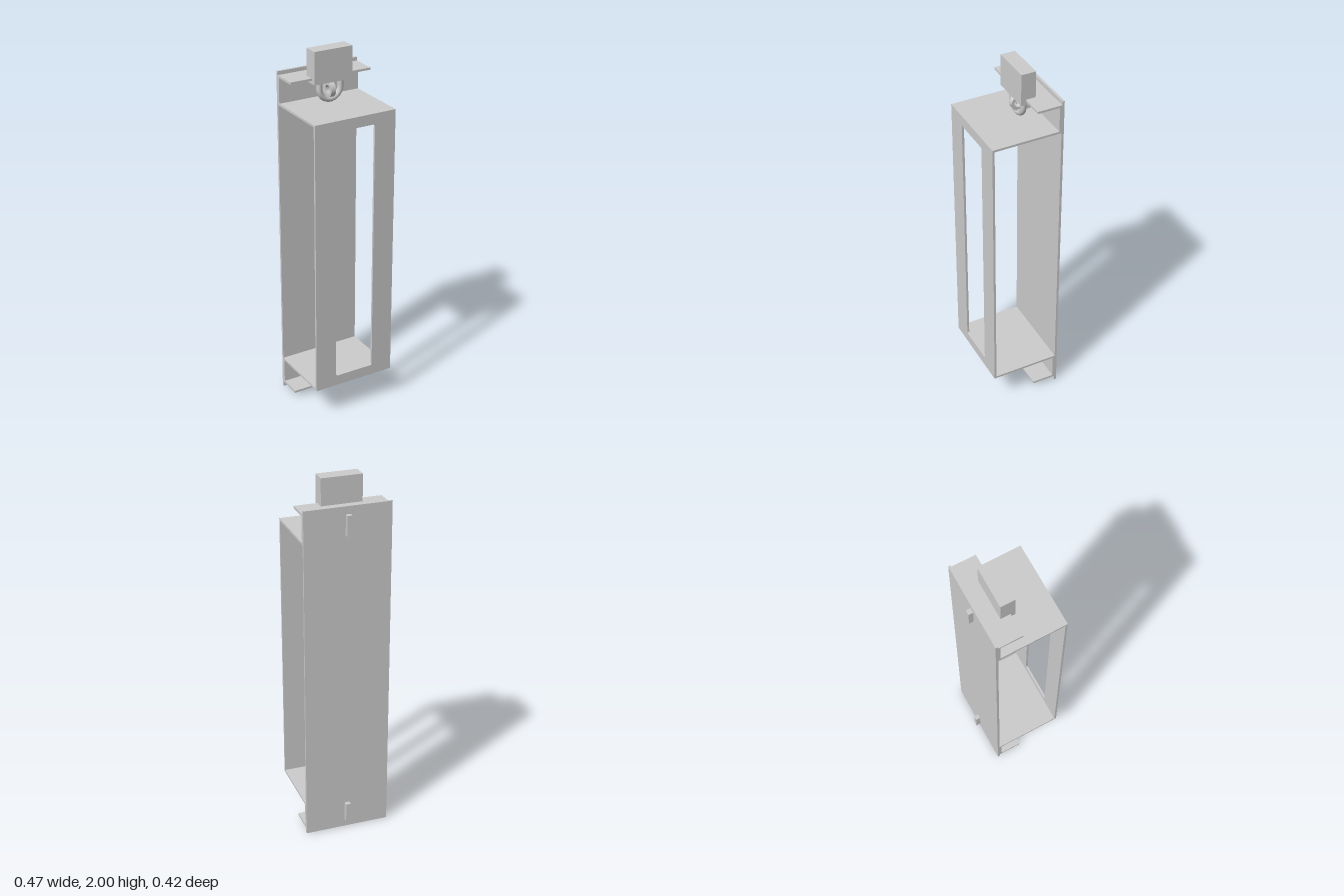
import * as THREE from 'three';

const mat = new THREE.MeshStandardMaterial({ color: 0xcccccc, side: THREE.DoubleSide });
const W = 0.47; // width of the sheet metal parts

function add(parent, name, geometry) {
  const mesh = new THREE.Mesh(geometry, mat);
  mesh.name = name;
  parent.add(mesh);
  return mesh;
}

// Box given by its y and z limits, centred on x = 0
function slab(parent, name, w, y0, y1, z0, z1) {
  const mesh = add(parent, name, new THREE.BoxGeometry(w, y1 - y0, z1 - z0));
  mesh.position.set(0, (y0 + y1) / 2, (z0 + z1) / 2);
  return mesh;
}

// Rectangle path with rounded corners
function roundedRect(path, x, y0, y1, r) {
  path.moveTo(-x + r, y0);
  path.lineTo(x - r, y0);
  path.absarc(x - r, y0 + r, r, -Math.PI / 2, 0);
  path.lineTo(x, y1 - r);
  path.absarc(x - r, y1 - r, r, 0, Math.PI / 2);
  path.lineTo(-x + r, y1);
  path.absarc(-x + r, y1 - r, r, Math.PI / 2, Math.PI);
  path.lineTo(-x, y0 + r);
  path.absarc(-x + r, y0 + r, r, Math.PI, Math.PI * 1.5);
  return path;
}

// Flat eye tab in the z/y plane, with a wider root pushed through the back plate
function tabGeometry() {
  const s = new THREE.Shape();
  s.moveTo(-0.21, -0.055);
  s.lineTo(-0.155, -0.055);
  s.lineTo(-0.155, -0.048);
  s.lineTo(-0.052, -0.043);
  s.absarc(-0.053, 0, 0.043, -Math.PI / 2, Math.PI / 2);
  s.lineTo(-0.155, 0.048);
  s.lineTo(-0.155, 0.055);
  s.lineTo(-0.21, 0.055);
  s.closePath();
  s.holes.push(new THREE.Path().absarc(-0.048, 0, 0.023, 0, Math.PI * 2, true));
  const g = new THREE.ExtrudeGeometry(s, { depth: 0.027, bevelEnabled: false, curveSegments: 16 });
  return g.translate(0, 0, -0.0135).rotateY(-Math.PI / 2);
}

export function createModel() {
  const model = new THREE.Group();
  model.name = 'lockedWallBracket';

  slab(model, 'backPlate', W, 0, 1.875, -0.185, -0.172);

  // Bent cover: windowed front, two shelves, flanges and lips
  const cover = new THREE.Group();
  cover.name = 'cover';
  model.add(cover);
  const face = new THREE.Shape([
    new THREE.Vector2(-W / 2, 0.175), new THREE.Vector2(W / 2, 0.175),
    new THREE.Vector2(W / 2, 1.705), new THREE.Vector2(-W / 2, 1.705),
  ]);
  face.holes.push(roundedRect(new THREE.Path(), 0.113, 0.233, 1.647, 0.01));
  const front = add(cover, 'windowedFront',
    new THREE.ExtrudeGeometry(face, { depth: 0.012, bevelEnabled: false, curveSegments: 4 }));
  front.position.z = 0.195;
  slab(cover, 'topShelf', W, 1.693, 1.705, -0.16, 0.195);
  slab(cover, 'bottomShelf', W, 0.175, 0.187, -0.16, 0.195);
  slab(cover, 'topFlange', W, 1.693, 1.855, -0.172, -0.16);
  slab(cover, 'bottomFlange', W, 0.028, 0.187, -0.172, -0.16);
  slab(cover, 'topLip', W, 1.843, 1.855, -0.16, -0.038);
  slab(cover, 'bottomLip', W, 0.028, 0.04, -0.16, -0.038);

  // Eye tabs at both ends
  for (const [name, y] of [['upperTab', 1.778], ['lowerTab', 0.098]]) {
    add(model, name, tabGeometry()).position.y = y;
  }

  // Padlock hanging upside down with its shackle through the upper tab
  const padlock = new THREE.Group();
  padlock.name = 'padlock';
  model.add(padlock);
  slab(padlock, 'padlockBody', 0.222, 1.825, 2, -0.092, -0.012);
  const r = 0.062, cy = 1.787;
  const path = new THREE.CurvePath();
  const pts = [];
  for (let i = 0; i <= 16; i++) {
    const a = Math.PI + (Math.PI * i) / 16;
    pts.push(new THREE.Vector3(r * Math.cos(a), cy + r * Math.sin(a), -0.05));
  }
  path.add(new THREE.LineCurve3(new THREE.Vector3(-r, 1.84, -0.05), pts[0]));
  path.add(new THREE.CatmullRomCurve3(pts));
  path.add(new THREE.LineCurve3(pts[16], new THREE.Vector3(r, 1.84, -0.05)));
  add(padlock, 'shackle', new THREE.TubeGeometry(path, 48, 0.016, 16));

  return model;
}
